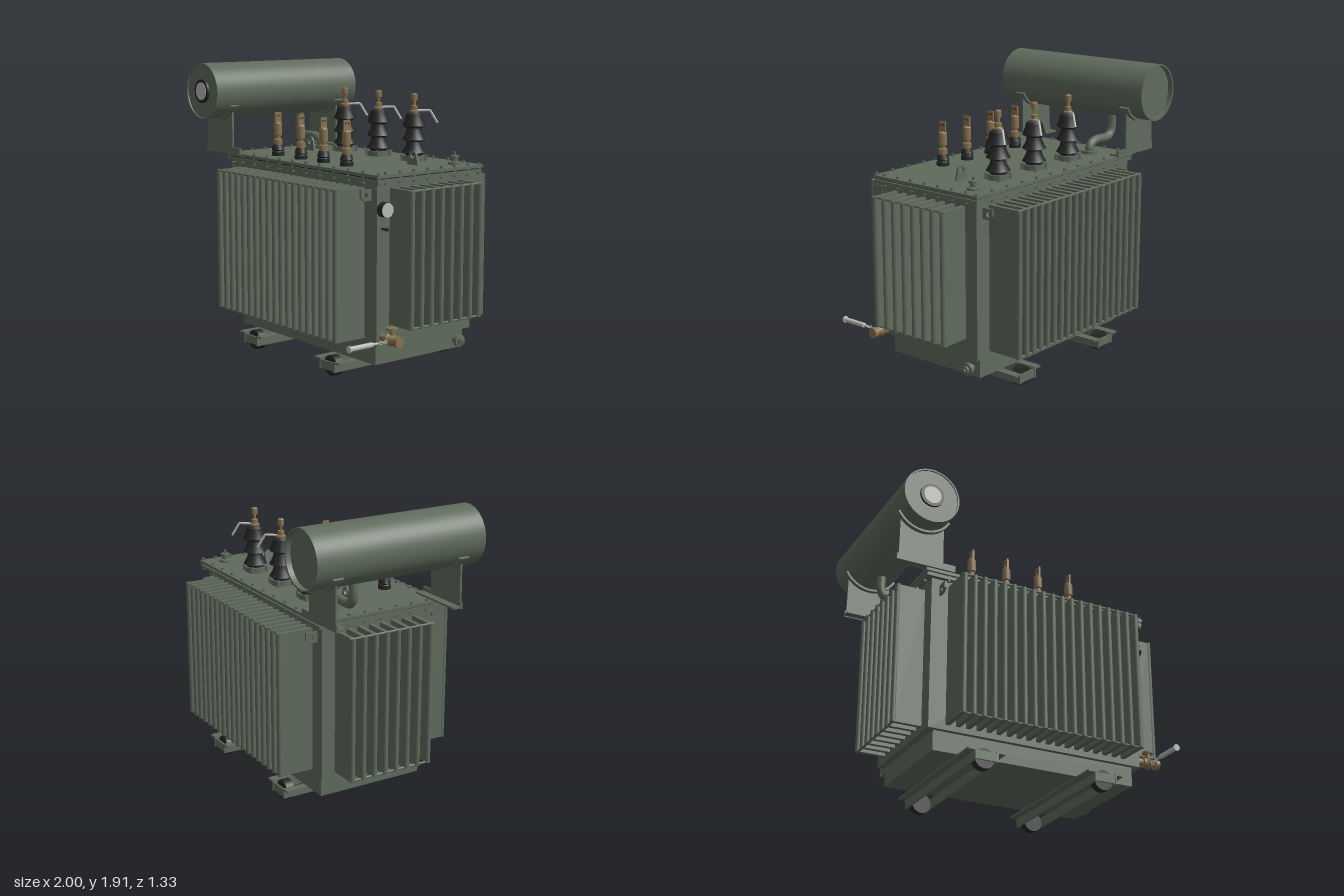
import * as THREE from 'three';
import { toCreasedNormals } from 'three/addons/utils/BufferGeometryUtils.js';

const paint = (name, color, side = THREE.FrontSide) => {
  const m = new THREE.MeshStandardMaterial({ color, side });
  m.name = name;
  return m;
};

export function createModel() {
  const green = paint('tank green', 0x5f6b5c);
  const black = paint('black porcelain', 0x262727);
  const brass = paint('brass', 0x877250);
  const grey = paint('light grey metal', 0xb9bab6);

  const model = new THREE.Group();
  model.name = 'transformer';

  // ---- helpers ----
  const group = (name, parent = model, x = 0, y = 0, z = 0) => {
    const g = new THREE.Group();
    g.name = name;
    g.position.set(x, y, z);
    parent.add(g);
    return g;
  };
  const add = (name, geo, mat, parent = model, x = 0, y = 0, z = 0) => {
    const m = new THREE.Mesh(geo, mat);
    m.name = name;
    m.position.set(x, y, z);
    parent.add(m);
    return m;
  };
  // box given by its limits
  const box = (name, x0, x1, y0, y1, z0, z1, mat = green, parent = model) =>
    add(name, new THREE.BoxGeometry(x1 - x0, y1 - y0, z1 - z0), mat, parent,
      (x0 + x1) / 2, (y0 + y1) / 2, (z0 + z1) / 2);
  // rod along an axis, centred on its position
  const rod = (name, axis, r, len, mat, parent, x, y, z, sides = 20) => {
    const m = add(name, new THREE.CylinderGeometry(r, r, len, sides), mat, parent, x, y, z);
    if (axis === 'x') m.rotation.z = -Math.PI / 2;
    if (axis === 'z') m.rotation.x = Math.PI / 2;
    return m;
  };
  // turned profile of [radius, height] pairs
  const turned = (pts, sides = 28) => toCreasedNormals(
    new THREE.LatheGeometry(pts.map(p => new THREE.Vector2(...p)), sides), 0.6);
  const extrude = (shape, depth) => {
    const g = new THREE.ExtrudeGeometry(shape, { depth, bevelEnabled: false, curveSegments: 20 });
    return g.translate(0, 0, -depth / 2);
  };
  const path = (pts, r) => {
    const curve = new THREE.CurvePath();
    const v = pts.map(p => new THREE.Vector3(...p));
    for (let i = 1; i < v.length; i++) curve.add(new THREE.LineCurve3(v[i - 1], v[i]));
    return new THREE.TubeGeometry(curve, 24, r, 8);
  };

  // ---- tank, lid and base ----
  box('tank', -0.71, 0.79, 0.24, 1.27, -0.42, 0.37);
  box('tankFlange', -0.755, 0.835, 1.255, 1.275, -0.465, 0.4);
  box('gasket', -0.74, 0.82, 1.275, 1.285, -0.45, 0.39, black);
  box('lid', -0.76, 0.84, 1.285, 1.305, -0.47, 0.405);
  box('base', -0.665, 0.745, 0.11, 0.24, -0.4, 0.34);

  // ---- lid bolts ----
  const bolts = group('lidBolts');
  const bolt = (x, z) => rod('bolt', 'y', 0.011, 0.08, green, bolts, x, 1.28, z, 6);
  for (let i = 0; i < 11; i++) for (const z of [-0.45, 0.388]) bolt(-0.6 + i * 0.1425, z);
  for (let i = 0; i < 7; i++) for (const x of [-0.74, 0.817]) bolt(x, -0.36 + i * 0.114);

  // ---- cooling fins: one bank per side ----
  const finBank = (name, n, step, depth, y0, y1, x, z, turn) => {
    const g = group(name, model, x, 0, z);
    g.rotation.y = turn;
    const half = (n - 1) * step / 2;
    for (let i = 0; i < n; i++) {
      const u = -half + i * step;
      box('fin', u - 0.014, u + 0.014, y0, y1, -0.005, depth - 0.02, green, g);
      rod('finEdge', 'y', 0.018, y1 - y0, green, g, u, (y0 + y1) / 2, depth - 0.018, 12);
    }
    for (const y of [y0 + 0.004, y1 - 0.004])
      rod('tieRod', 'x', 0.008, half * 2 + 0.04, green, g, 0, y, depth - 0.02, 8);
  };
  finBank('frontFins', 19, 0.069, 0.235, 0.275, 1.215, 0.04, 0.37, 0);
  finBank('backFins', 19, 0.069, 0.245, 0.275, 1.215, 0.04, -0.42, Math.PI);
  finBank('rightEndFins', 8, 0.081, 0.205, 0.365, 1.215, 0.79, -0.03, Math.PI / 2);
  finBank('leftEndFins', 8, 0.081, 0.2, 0.28, 1.215, -0.71, -0.03, -Math.PI / 2);

  // ---- skids with wheels ----
  for (const x of [-0.375, 0.455]) {
    const g = group('skid', model, x);
    for (const s of [-1, 1]) {
      const web = box('skidWeb', -0.006, 0.006, 0.04, 0.105, -0.55, 0.495, green, g);
      web.position.x = s * 0.072;
      const flange = box('skidFlange', -0.028, 0.028, 0.097, 0.11, -0.55, 0.495, green, g);
      flange.position.x = s * 0.098;
    }
    for (const z of [0.435, -0.49]) {
      rod('wheel', 'z', 0.066, 0.055, black, g, 0, 0.066, z, 32);
      rod('axle', 'x', 0.015, 0.15, green, g, 0, 0.07, z);
    }
    for (const z of [0.485, -0.54]) box('endPlate', -0.075, 0.075, 0.045, 0.1, z - 0.006, z + 0.006, green, g);
  }

  // ---- lifting eyes ----
  const eye = (w, h, hole, thick) => {
    const s = new THREE.Shape();
    s.moveTo(-w, 0);
    s.lineTo(w, 0);
    s.lineTo(w * 0.66, h - w * 0.6);
    s.absarc(0, h - w * 0.66, w * 0.66, 0, Math.PI);
    s.closePath();
    s.holes.push(new THREE.Path().absarc(0, h - w * 0.66, hole, 0, Math.PI * 2, true));
    return extrude(s, thick);
  };
  for (const x of [-0.485, 0.58]) add('lidLiftingEye', eye(0.052, 0.1, 0.02, 0.014), green, model, x, 1.3, -0.108);
  for (const x of [-0.65, 0.73]) for (const s of [-1, 1]) {
    const lug = new THREE.Shape();
    lug.moveTo(0, -0.035).lineTo(0.055, -0.035).lineTo(0.08, -0.01).lineTo(0.08, 0.035).lineTo(0, 0.035);
    lug.holes.push(new THREE.Path().absarc(0.045, 0, 0.018, 0, Math.PI * 2, true));
    const m = add('tankLug', extrude(lug, 0.014), green, model, x, 1.175, s > 0 ? 0.37 : -0.42);
    m.rotation.y = -s * Math.PI / 2;
  }

  // ---- conservator drum with recessed ends ----
  const drum = group('conservator', model, -0.81, 1.725, 0);
  add('drum', turned([[0, -0.59], [0.178, -0.59], [0.178, -0.625], [0.19, -0.625],
    [0.19, 0.57], [0.18, 0.57], [0.18, 0.56], [0, 0.56]], 56), green, drum).rotation.x = Math.PI / 2;
  rod('gaugeRing', 'z', 0.08, 0.016, black, drum, 0, 0, 0.567, 32);
  rod('gaugeFace', 'z', 0.06, 0.006, grey, drum, 0, 0, 0.575, 32);
  const a = 0.5;
  const saddle = new THREE.Shape();
  saddle.absarc(0, 0, 0.205, -Math.PI + a, -a);
  saddle.absarc(0, 0, 0.188, -a, -Math.PI + a, true);
  const plate = new THREE.Shape();
  plate.moveTo(-0.155, -0.4);
  plate.lineTo(0.15, -0.4);
  plate.lineTo(0.15, -0.12);
  plate.absarc(0, 0, 0.192, -0.675, -Math.PI + 0.675, true);
  plate.lineTo(-0.155, -0.4);
  for (const [z, s] of [[0.42, 1], [-0.475, -1]]) {
    add('saddle', extrude(saddle, 0.072), green, drum, 0, 0, z);
    add('supportPlate', extrude(plate, 0.014), green, drum, 0, 0, z);
    box('bracketWeb', -0.975, -0.575, 1.3, 1.345, z - 0.007, z + 0.007);
    box('bracketFlange', -0.975, -0.575, 1.305, 1.317, Math.min(z, z - s * 0.06), Math.max(z, z - s * 0.06));
  }

  // ---- pipe from drum to lid ----
  const pipe = new THREE.CatmullRomCurve3([[-0.8, 1.57], [-0.8, 1.43], [-0.765, 1.39], [-0.62, 1.385],
    [-0.575, 1.37], [-0.555, 1.34], [-0.555, 1.3]].map(([x, y]) => new THREE.Vector3(x, y, -0.257)));
  add('pipe', new THREE.TubeGeometry(pipe, 40, 0.03, 14), green);
  rod('pipeFlange', 'y', 0.057, 0.02, green, model, -0.555, 1.315, -0.257, 24);

  // ---- tall bushings with sheds and arcing horns ----
  const shedProfile = [[0, 0.03], [0.056, 0.03], [0.056, 0.045], [0.078, 0.055], [0.055, 0.095], [0.048, 0.125],
    [0.078, 0.138], [0.055, 0.18], [0.048, 0.212], [0.077, 0.228], [0.06, 0.27], [0.054, 0.3], [0.04, 0.312], [0, 0.312]];
  const tallStem = [[0, 0.305], [0.032, 0.305], [0.032, 0.325], [0.022, 0.33], [0.022, 0.355], [0.01, 0.36],
    [0.01, 0.39], [0.021, 0.392], [0.021, 0.43], [0.015, 0.436], [0, 0.436]];
  for (const x of [-0.3, 0.055, 0.41]) {
    const g = group('tallBushing', model, x, 1.305, -0.267);
    rod('flange', 'y', 0.07, 0.035, green, g, 0, 0.017, 0, 24);
    for (let i = 0; i < 4; i++) {
      const t = Math.PI / 4 + i * Math.PI / 2;
      rod('clampBolt', 'y', 0.013, 0.04, green, g, 0.075 * Math.cos(t), 0.02, 0.075 * Math.sin(t), 6);
    }
    add('porcelain', turned(shedProfile), black, g);
    add('terminal', turned(tallStem, 18), brass, g);
    add('arcingHorn', path([[0.01, 0.325, -0.015], [0.058, 0.328, -0.085], [0.086, 0.245, -0.125]], 0.008), grey, g);
  }

  // ---- short bushings with flat terminals ----
  const shortBase = [[0, 0], [0.042, 0], [0.042, 0.025], [0.034, 0.032], [0.042, 0.04], [0.036, 0.06], [0.03, 0.075], [0, 0.075]];
  const shortStem = [[0, 0.07], [0.03, 0.07], [0.03, 0.11], [0.018, 0.115], [0.018, 0.13], [0.028, 0.135],
    [0.028, 0.215], [0.02, 0.225], [0, 0.225]];
  for (const x of [-0.375, -0.12, 0.12, 0.355]) {
    const g = group('shortBushing', model, x, 1.305, 0.252);
    add('insulator', turned(shortBase, 20), black, g);
    add('terminal', turned(shortStem, 16), brass, g);
    box('terminalBlade', -0.006, 0.006, 0.2, 0.29, -0.025, 0.025, brass, g);
    for (const z of [-0.011, 0.011]) rod('bladeHole', 'x', 0.006, 0.0135, black, g, 0, 0.268, z, 10);
  }

  // ---- filler cap ----
  add('fillerCap', turned([[0, 0], [0.042, 0], [0.042, 0.02], [0.022, 0.025], [0.022, 0.045], [0.03, 0.047],
    [0.03, 0.062], [0.01, 0.066], [0.01, 0.085], [0, 0.085]], 20), green, model, 0.72, 1.3, -0.335);

  // ---- thermometer and sensor pocket ----
  rod('thermometer', 'x', 0.047, 0.045, black, model, 0.82, 1.09, 0.33, 32);
  rod('thermometerFace', 'x', 0.045, 0.006, grey, model, 0.842, 1.09, 0.33, 32);
  rod('sensorPocket', 'x', 0.007, 0.05, black, model, 0.812, 0.97, 0.33, 10);
  rod('sensorCap', 'x', 0.011, 0.014, black, model, 0.835, 0.97, 0.33, 10);

  // ---- drain valve with hanging handle ----
  const valve = group('drainValve', model, 0.79, 0.295, 0.327);
  add('valveBody', turned([[0, 0], [0.024, 0], [0.024, 0.045], [0.034, 0.05], [0.034, 0.07], [0.026, 0.075],
    [0.04, 0.095], [0.026, 0.12], [0.022, 0.135], [0.034, 0.138], [0.034, 0.17], [0, 0.17]], 18), brass, valve)
    .rotation.z = -Math.PI / 2;
  rod('valveStem', 'y', 0.015, 0.07, brass, valve, 0.095, 0.045, 0);
  rod('valveKnob', 'y', 0.036, 0.012, brass, valve, 0.095, 0.073, 0, 16);
  for (let i = 0; i < 4; i++) {
    const link = add('chainLink', new THREE.TorusGeometry(0.011, 0.003, 6, 12), grey, valve, 0.095, -0.003, 0.05 + i * 0.02);
    link.rotation.set(i % 2 ? Math.PI / 2 : 0, i % 2 ? 0 : Math.PI / 2, 0);
  }
  add('handle', turned([[0, 0.115], [0.008, 0.115], [0.008, 0.15], [0.016, 0.155], [0.016, 0.325], [0.022, 0.327],
    [0.022, 0.338], [0, 0.338]], 16), grey, valve, 0.092, -0.003, 0).rotation.x = Math.PI / 2;

  // ---- base drain plug ----
  add('drainPlug', turned([[0, -0.01], [0.025, -0.01], [0.025, 0.025], [0.04, 0.028], [0.04, 0.05], [0.024, 0.053],
    [0.024, 0.068], [0.012, 0.07], [0.012, 0.083], [0, 0.083]], 20), green, model, 0.745, 0.165, -0.335)
    .rotation.z = -Math.PI / 2;

  return model;
}
